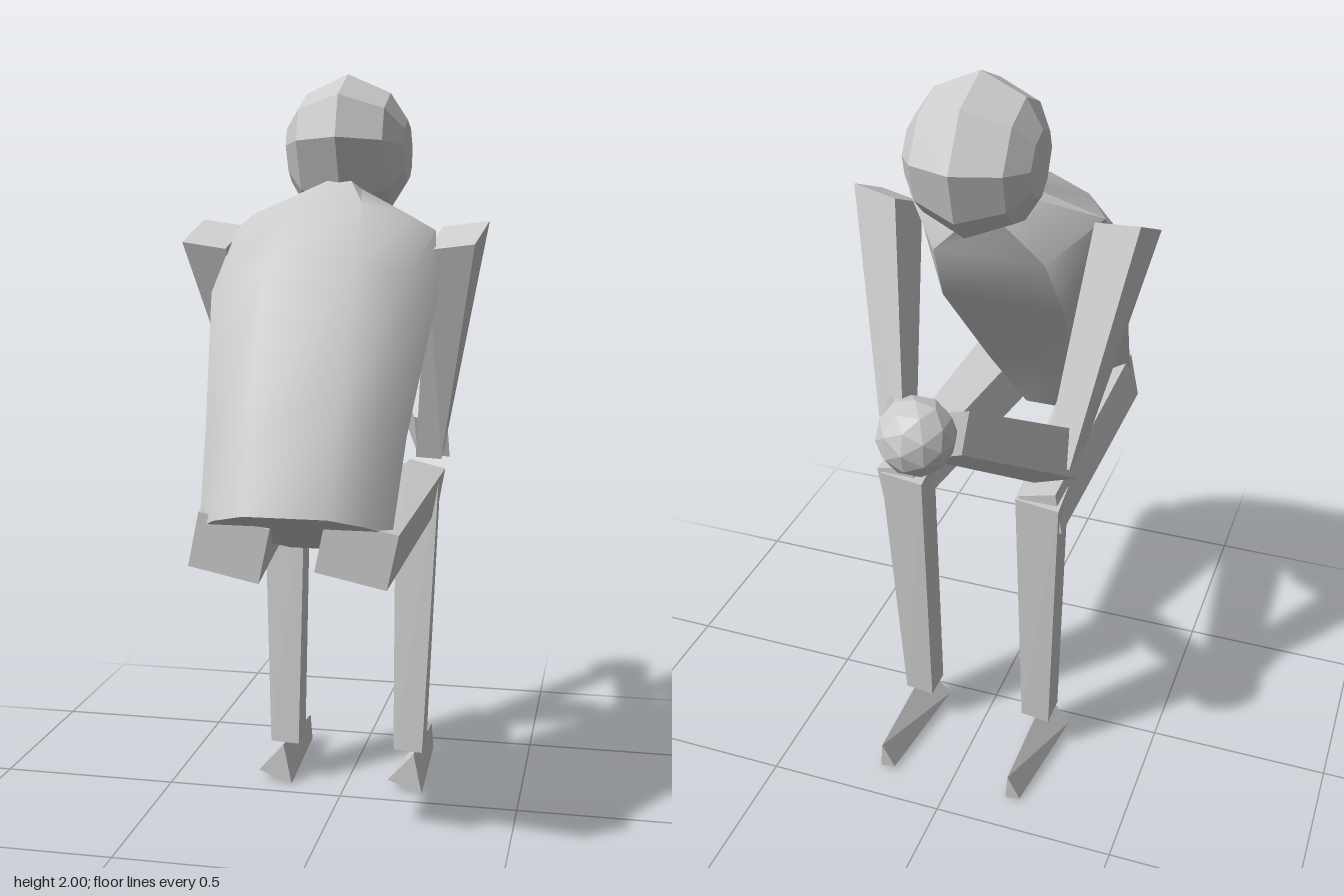
import * as THREE from 'three';
import { ConvexGeometry } from 'three/addons/geometries/ConvexGeometry.js';
import { toCreasedNormals } from 'three/addons/utils/BufferGeometryUtils.js';

const flat = new THREE.MeshStandardMaterial({ color: 0xcccccc, flatShading: true });
const smooth = new THREE.MeshStandardMaterial({ color: 0xcccccc });
const V = (x, y, z) => new THREE.Vector3(x, y, z);

// Four corners of a limb end: centre plus two half-axes
function quad(c, u, v) {
  const out = [];
  for (const i of [-1, 1]) for (const j of [-1, 1])
    out.push(V(...c).addScaledVector(V(...u), i).addScaledVector(V(...v), j));
  return out;
}

function hull(name, points) {
  const m = new THREE.Mesh(new ConvexGeometry(points), flat);
  m.name = name;
  return m;
}

// Faceted head: a side profile (z, y) shrinking towards each side
function head() {
  const profile = [[0.07, 1.83], [0.03, 1.94], [-0.11, 2.0], [-0.25, 1.95], [-0.335, 1.82],
    [-0.3, 1.69], [-0.23, 1.625], [-0.11, 1.59], [-0.01, 1.66]];
  const cz = -0.14, cy = 1.8, points = [];
  for (const [x, k] of [[0, 1], [0.115, 0.75], [0.16, 0.4]])
    for (const [z, y] of profile)
      for (const s of [1, -1]) points.push(V(s * x, cy + (y - cy) * k, cz + (z - cz) * k));
  return hull('head', points);
}

// Hunched torso lofted through rings from hips to neck
function torso() {
  // back z, back y, front z, front y, back half-width, side half-width, front half-width
  const rings = [
    [0.65, 0.95, 0.40, 0.82, 0.10, 0.235, 0.045],
    [0.54, 1.18, 0.28, 1.02, 0.11, 0.25, 0.12],
    [0.34, 1.52, 0.05, 1.32, 0.11, 0.292, 0.17],
    [0.16, 1.66, -0.06, 1.50, 0.09, 0.265, 0.15],
    [0.00, 1.72, -0.08, 1.60, 0.03, 0.07, 0.05],
    [-0.06, 1.76, -0.13, 1.66, 0.03, 0.06, 0.04],
  ];
  const pos = [], idx = [], n = 8;
  for (const [bz, by, fz, fy, bw, w, fw] of rings) {
    const half = [[bw, 0], [w * 0.78, 0.18], [w, 0.42], [fw, 1]];
    const loop = [...half, ...half.map(([x, t]) => [-x, t]).reverse()];
    for (const [x, t] of loop) pos.push(x, by + (fy - by) * t, bz + (fz - bz) * t);
  }
  for (let r = 0; r < rings.length - 1; r++)
    for (let j = 0; j < n; j++) {
      const a = r * n + j, b = r * n + (j + 1) % n;
      idx.push(a, b, b + n, a, b + n, a + n);
    }
  const top = (rings.length - 1) * n;
  for (let j = 1; j < n - 1; j++) idx.push(0, j + 1, j, top, top + j, top + j + 1);
  const g = new THREE.BufferGeometry();
  g.setAttribute('position', new THREE.Float32BufferAttribute(pos, 3));
  g.setIndex(idx);
  const m = new THREE.Mesh(toCreasedNormals(g, 0.75), smooth);
  m.name = 'torso';
  return m;
}

export function createModel() {
  const model = new THREE.Group();
  model.name = 'seatedFigure';
  model.add(torso(), head());

  const hands = new THREE.Mesh(new THREE.IcosahedronGeometry(0.097, 1), flat);
  hands.name = 'claspedHands';
  hands.position.set(0, 1.265, -0.56);
  model.add(hands);

  for (const s of [1, -1]) {
    const side = s > 0 ? 'left' : 'right';

    // Arms taper from square shoulders to the elbows, then meet at the hands
    model.add(hull(side + 'UpperArm', [
      ...quad([s * 0.325, 1.58, 0.07], [0.062, s * 0.008, 0.012], [-0.012, -0.028, 0.062]),
      ...quad([s * 0.23, 0.985, -0.14], [0.037, 0, 0.01], [0, -0.018, 0.045]),
    ]));
    model.add(hull(side + 'Forearm', [
      ...quad([s * 0.23, 1.015, -0.16], [0.05, 0, s * 0.028], [0, 0.055, 0.03]),
      ...quad([s * 0.055, 1.25, -0.51], [0.04, 0, s * 0.022], [0, 0.045, 0.028]),
    ]));

    // Thighs are rolled a little the same way on both sides
    model.add(hull(side + 'Thigh', [
      ...quad([s * 0.155, 0.855, 0.575], [0.087, -0.018, 0], [0.014, 0.067, 0]),
      ...quad([s * 0.2, 0.868, -0.225], [0.05, -0.012, 0], [0.01, 0.058, 0]),
    ]));
    model.add(hull(side + 'Shin', [
      ...quad([s * 0.19, 0.905, -0.18], [0.062, 0, 0.01], [0.005, 0, 0.06]),
      ...quad([s * 0.18, 0.115, -0.13], [0.042, 0, 0.005], [0, 0, 0.045]),
    ]));

    // Wedge feet: triangular heel narrowing to an upright toe edge
    const x = s > 0 ? 0.2 : -0.18;
    model.add(hull(side + 'Foot', [
      V(x, 0.115, -0.065), V(x - 0.075, 0.03, -0.07), V(x + 0.025, 0, -0.06),
      V(x + 0.006, 0.085, -0.4), V(x - 0.028, 0.01, -0.395), V(x + 0.012, 0.008, -0.4),
    ]));
  }
  return model;
}
